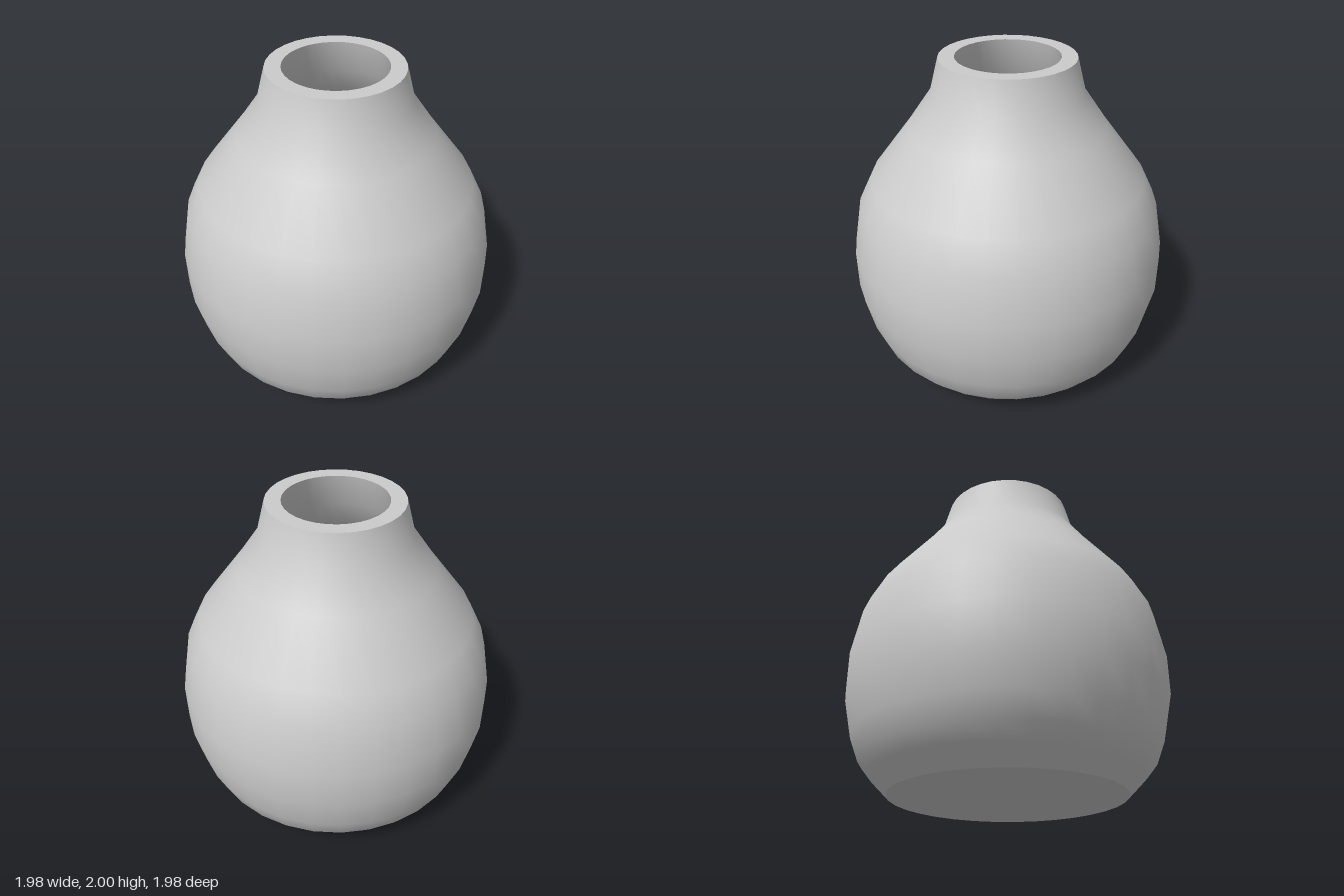
import * as THREE from 'three';
import { toCreasedNormals } from 'three/addons/utils/BufferGeometryUtils.js';

const SIDES = 32;

// Outer wall from foot to mouth: [radius, height]
const OUTER = [
  [0.71, 0], [0.82, 0.11], [0.885, 0.19], [0.94, 0.33], [0.99, 0.56], [0.99, 0.8],
  [0.935, 1.09], [0.845, 1.27], [0.6, 1.59], [0.46, 1.79], [0.405, 2],
];
const WALL = 0.095;
const FLOOR = 0.04;

export function createModel() {
  const group = new THREE.Group();
  group.name = 'vase';

  // Closed section: underside, outer wall, flat rim, inner wall, inner floor
  const inner = OUTER.map(([r, y]) => [r - WALL, Math.max(y, FLOOR)]).reverse();
  const profile = [[0, 0], ...OUTER, ...inner, [0, FLOOR]]
    .map(([r, y]) => new THREE.Vector2(r, y));

  // Smooth walls with crisp edges at the foot and rim
  const geometry = toCreasedNormals(new THREE.LatheGeometry(profile, SIDES), 0.7);
  const body = new THREE.Mesh(geometry, new THREE.MeshStandardMaterial({ color: 0xcccccc }));
  body.name = 'vaseBody';
  group.add(body);

  return group;
}
